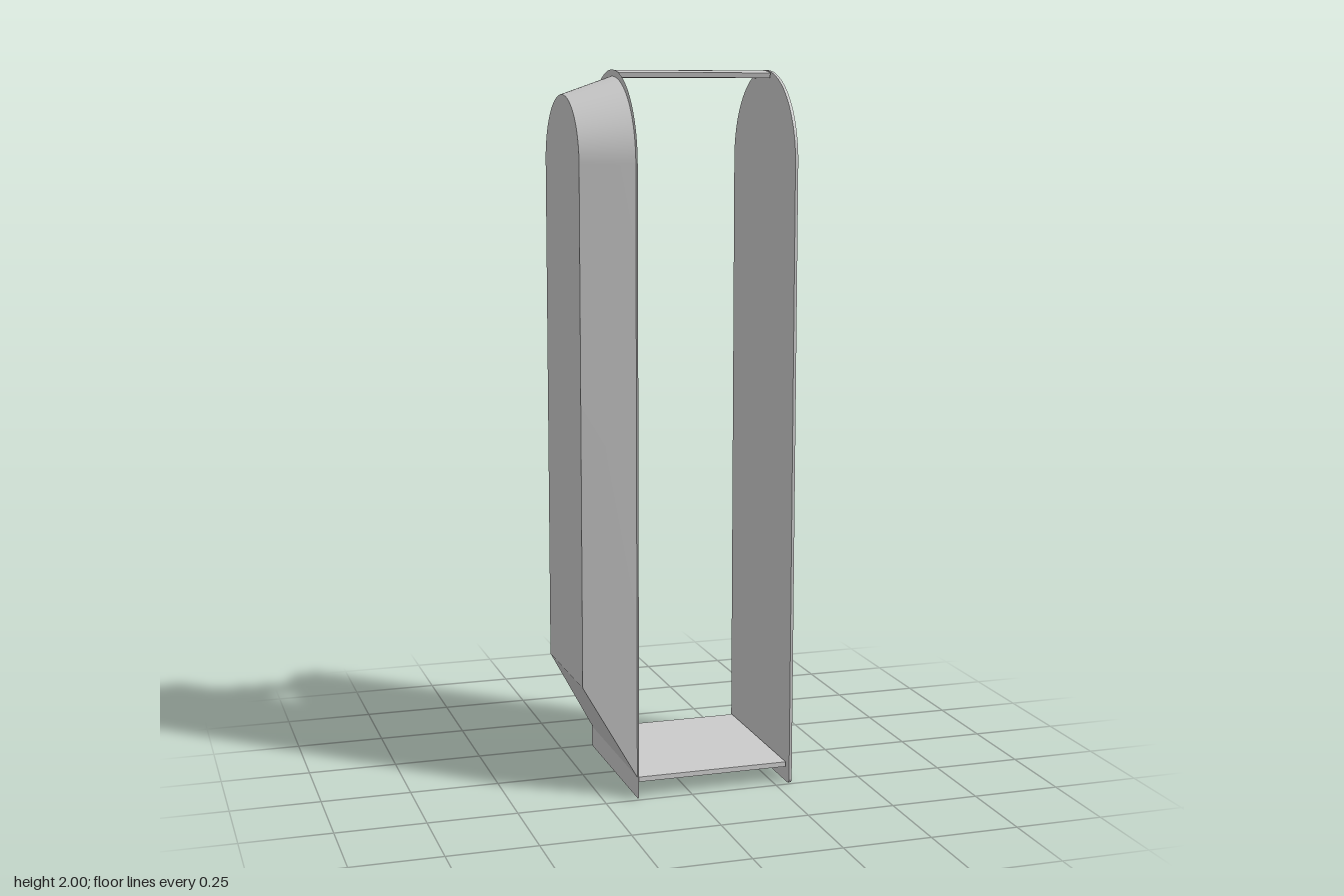
import * as THREE from 'three';
import { toCreasedNormals } from 'three/addons/utils/BufferGeometryUtils.js';

const ARCH_Y = 1.75;   // centre height of every arch
const RIM_X = -0.155;  // plane of the open rim
const BACK_X = -0.297; // plane of the recessed panel
const PLATE_X = 0.289;
const SEGMENTS = 48;

// Arch outline, counter-clockwise, with optional small bottom corner radius
function archPoints(r, bottom, corner = 0) {
  const pts = [];
  for (let i = 0; i <= SEGMENTS; i++) {
    const a = (i / SEGMENTS) * Math.PI;
    pts.push(new THREE.Vector2(r * Math.cos(a), ARCH_Y + r * Math.sin(a)));
  }
  if (!corner) return [...pts, new THREE.Vector2(-r, bottom), new THREE.Vector2(r, bottom)];
  for (const [cx, start] of [[-r + corner, Math.PI], [r - corner, 1.5 * Math.PI]]) {
    for (let i = 0; i <= 4; i++) {
      const a = start + (i / 4) * Math.PI / 2;
      pts.push(new THREE.Vector2(cx + corner * Math.cos(a), bottom + corner + corner * Math.sin(a)));
    }
  }
  return pts;
}

// Tapered wall joining two outlines with equal point counts
function wallGeometry(rim, back) {
  const pos = [];
  const index = [];
  const n = rim.length;
  for (const p of rim) pos.push(p.x, p.y, RIM_X);
  for (const p of back) pos.push(p.x, p.y, BACK_X);
  for (let i = 0; i < n; i++) {
    const j = (i + 1) % n;
    index.push(n + i, n + j, j, n + i, j, i);
  }
  const g = new THREE.BufferGeometry();
  g.setAttribute('position', new THREE.Float32BufferAttribute(pos, 3));
  g.setIndex(index);
  return toCreasedNormals(g, 0.4);
}

export function createModel() {
  const model = new THREE.Group();
  const material = new THREE.MeshStandardMaterial({ color: 0xcccccc, side: THREE.DoubleSide });
  const add = (name, geometry) => {
    const mesh = new THREE.Mesh(geometry, material);
    mesh.name = name;
    model.add(mesh);
  };
  // Profiles are drawn in XY, then turned so their depth runs along x
  const turn = (g, x = 0) => g.rotateY(Math.PI / 2).translate(x, 0, 0);

  const outer = archPoints(0.25, 0, 0.015);
  const rim = archPoints(0.232, 0.06);
  const back = archPoints(0.183, 0.315);

  // Flat arched plate on the left side
  const plate = new THREE.ExtrudeGeometry(new THREE.Shape(outer), { depth: 0.008, bevelEnabled: false });
  add('sidePlate', turn(toCreasedNormals(plate, 0.4), PLATE_X));

  // Paper-thin flange around the opening of the recessed side
  const flange = new THREE.Shape(outer);
  flange.holes.push(new THREE.Path(rim));
  add('rimFlange', turn(new THREE.ShapeGeometry(flange), RIM_X));

  // Tapered shell and its closing panel
  add('shellWall', turn(wallGeometry(rim, back)));
  add('shellPanel', new THREE.ShapeGeometry(new THREE.Shape(back)).rotateY(-Math.PI / 2).translate(BACK_X, 0, 0));

  // Floor joining both sides
  const length = 0.285 - RIM_X;
  const midX = (0.285 + RIM_X) / 2;
  add('floor', new THREE.BoxGeometry(length, 0.014, 0.464).translate(midX, 0.053, 0));

  // Curved strip across the crown
  const half = Math.asin(0.06 / 0.25);
  const strip = new THREE.Shape();
  strip.absarc(0, ARCH_Y, 0.249, Math.PI / 2 - half, Math.PI / 2 + half, false);
  strip.absarc(0, ARCH_Y, 0.235, Math.PI / 2 + half, Math.PI / 2 - half, true);
  const stripGeometry = new THREE.ExtrudeGeometry(strip, { depth: length, bevelEnabled: false, curveSegments: 12 });
  add('topStrip', turn(toCreasedNormals(stripGeometry, 0.4), RIM_X));

  return model;
}
